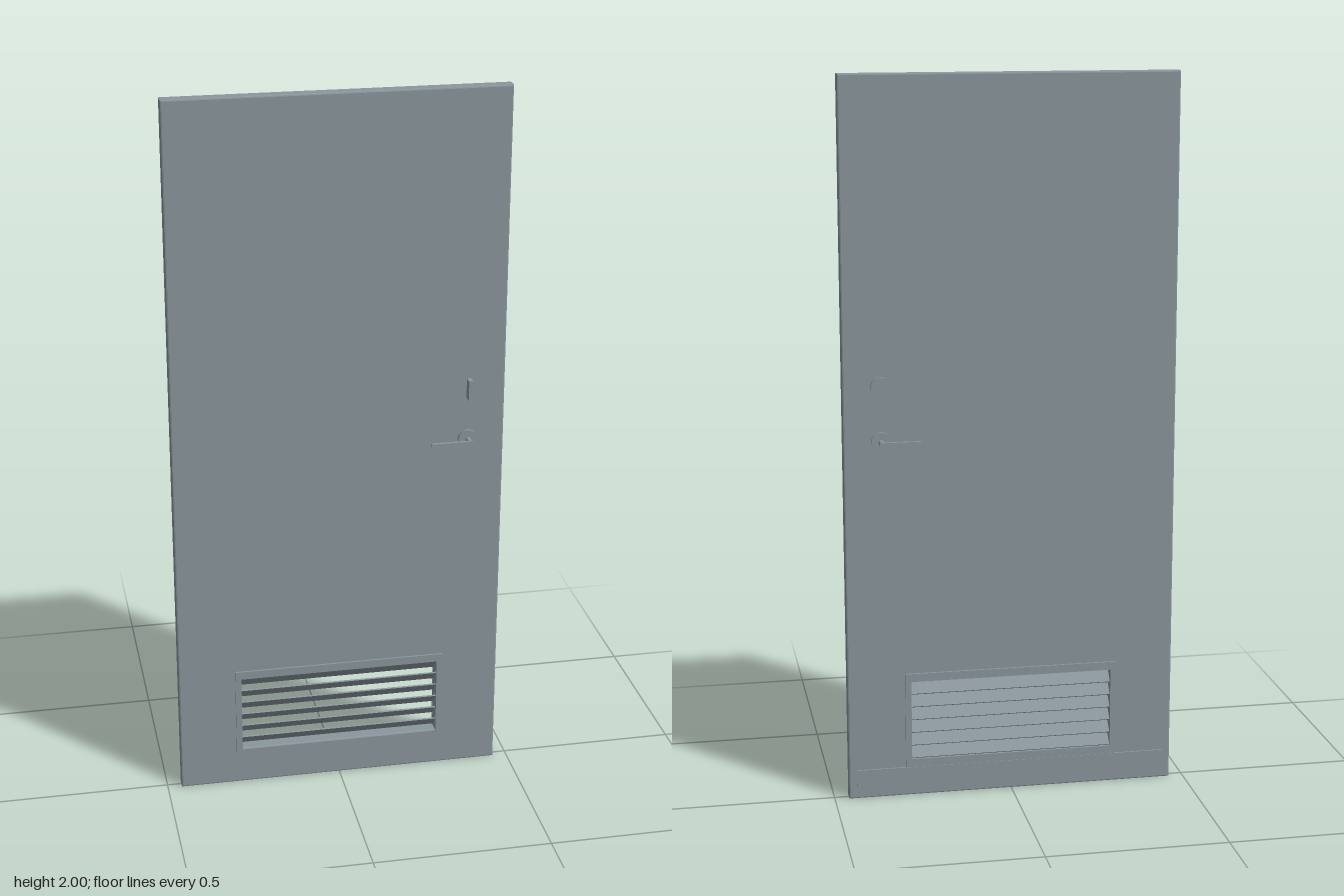
import * as THREE from 'three';

const HALF = 0.0195; // half the leaf thickness

function rectPoints(x0, y0, x1, y1) {
  return [[x0, y0], [x1, y0], [x1, y1], [x0, y1]].map(([x, y]) => new THREE.Vector2(x, y));
}

// Rectangular plate with a rectangular opening
function holedPlate(outer, opening, depth, bevel) {
  const shape = new THREE.Shape(rectPoints(...outer));
  shape.holes.push(new THREE.Path(rectPoints(...opening).reverse()));
  const geo = new THREE.ExtrudeGeometry(shape, {
    depth: depth - 2 * bevel, bevelEnabled: bevel > 0,
    bevelSize: bevel, bevelThickness: bevel, bevelOffset: -bevel, bevelSegments: 2,
  });
  return geo.translate(0, 0, bevel);
}

export function createModel() {
  const model = new THREE.Group();
  model.name = 'louveredDoor';
  const paint = new THREE.MeshStandardMaterial({ color: 0x8b979d });
  paint.name = 'greyBluePaint';

  function add(parent, name, geo, x = 0, y = 0, z = 0) {
    const mesh = new THREE.Mesh(geo, paint);
    mesh.name = name;
    mesh.position.set(x, y, z);
    parent.add(mesh);
    return mesh;
  }
  const disc = (r, depth) => new THREE.CylinderGeometry(r, r, depth, 32).rotateX(Math.PI / 2);

  // Leaf with the vent cut through it
  const opening = [-0.283, 0.108, 0.283, 0.335];
  add(model, 'doorLeaf', holedPlate([-0.46, 0, 0.46, 2], opening, HALF * 2, 0.004), 0, 0, -HALF);

  // Vent frames on both faces
  const frameOuter = [-0.3, 0.085, 0.3, 0.358];
  add(model, 'frontVentFrame', holedPlate(frameOuter, opening, 0.006, 0), 0, 0, HALF);
  add(model, 'backVentFrame', holedPlate(frameOuter, opening, 0.006, 0), 0, 0, -HALF - 0.006);

  // Slats: high at the front, low at the back
  const slats = new THREE.Group();
  slats.name = 'ventSlats';
  model.add(slats);
  const pitch = 0.0375;
  for (let i = 0; i < 6; i++) {
    const slat = add(slats, 'slat', new THREE.BoxGeometry(0.566, 0.004, 0.052), 0, 0.315 - i * pitch, 0);
    slat.rotation.x = -Math.PI / 4;
  }

  // Bottom seal strip on the back
  add(model, 'bottomSeal', new THREE.BoxGeometry(0.874, 0.048, 0.005), 0, 0.06, -HALF - 0.0025);

  // Lever handles, one per face
  for (const side of [1, -1]) {
    const handle = new THREE.Group();
    handle.name = side > 0 ? 'frontHandle' : 'backHandle';
    handle.position.set(0.358, 1.02, 0);
    model.add(handle);
    add(handle, 'rosette', disc(0.027, 0.008), 0, 0, side * (HALF + 0.004));
    add(handle, 'neck', disc(0.007, 0.032), 0, 0, side * 0.0415);
    add(handle, 'lever', new THREE.BoxGeometry(0.115, 0.01, 0.009), -0.0505, 0, side * 0.0535);
  }

  // Deadbolt: thumb turn in front, round cylinder cover behind
  add(model, 'thumbTurnStem', disc(0.005, 0.012), 0.357, 1.172, HALF + 0.005);
  add(model, 'thumbTurn', new THREE.BoxGeometry(0.012, 0.056, 0.026), 0.357, 1.172, 0.041);
  add(model, 'lockCover', disc(0.027, 0.007), 0.357, 1.172, -HALF - 0.0035);

  return model;
}
